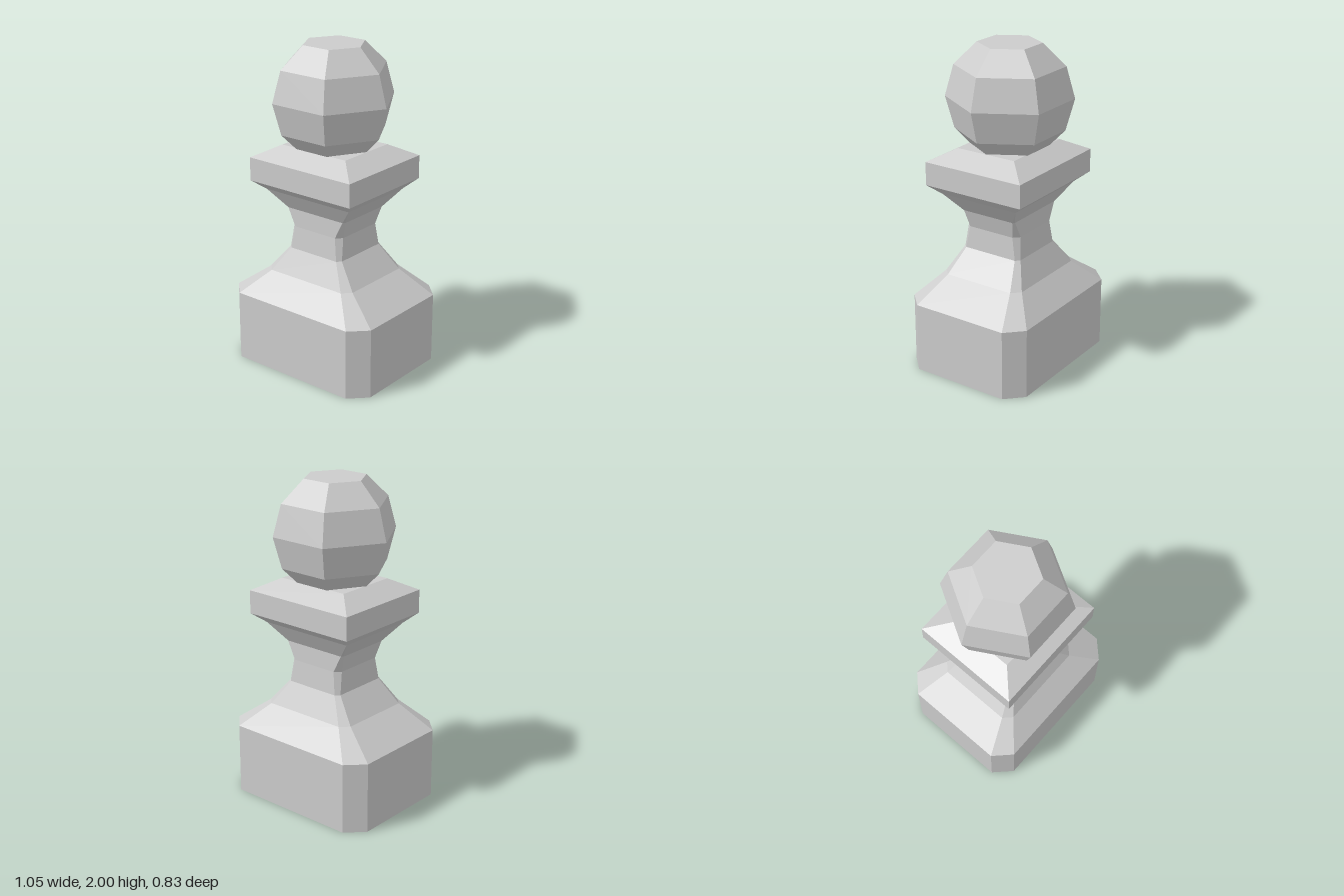
import * as THREE from 'three';

const material = new THREE.MeshStandardMaterial({ color: 0xcccccc, flatShading: true });

// Rectangle with cut corners, counter-clockwise from above.
function section([y, hx, hz, cut]) {
  const x = hx - cut, z = hz - cut;
  return [[hx, z], [hx, -z], [x, -hz], [-x, -hz], [-hx, -z], [-hx, z], [-x, hz], [x, hz]]
    .map(([px, pz]) => [px, y, pz]);
}

// Solid through a stack of sections, capped at both ends.
function loft(rows) {
  const rings = rows.map(section), n = 8, pos = [];
  const tri = (a, b, c) => pos.push(...a, ...b, ...c);
  for (let r = 0; r < rings.length - 1; r++) {
    const lo = rings[r], hi = rings[r + 1];
    for (let i = 0; i < n; i++) {
      const j = (i + 1) % n;
      tri(lo[i], lo[j], hi[j]);
      tri(lo[i], hi[j], hi[i]);
    }
  }
  const bottom = rings[0], top = rings[rings.length - 1];
  for (let i = 1; i < n - 1; i++) {
    tri(bottom[0], bottom[i + 1], bottom[i]);
    tri(top[0], top[i], top[i + 1]);
  }
  const g = new THREE.BufferGeometry();
  g.setAttribute('position', new THREE.Float32BufferAttribute(pos, 3));
  g.computeVertexNormals();
  return g;
}

export function createModel() {
  const group = new THREE.Group();
  const add = (name, geometry, x = 0) => {
    const mesh = new THREE.Mesh(geometry, material);
    mesh.name = name;
    mesh.position.x = x;
    group.add(mesh);
  };

  // Base, waist and collar: height, half width, half depth, corner cut
  add('body', loft([
    [0, 0.525, 0.417, 0.104],
    [0.44, 0.525, 0.417, 0.104],
    [0.59, 0.322, 0.28, 0.05],
    [0.74, 0.2, 0.204, 0.025],
    [0.88, 0.19, 0.19, 0.035],
    [0.99, 0.222, 0.188, 0.012],
    [1.105, 0.315, 0.262, 0],
    [1.165, 0.379, 0.336, 0],
    [1.31, 0.379, 0.336, 0],
    [1.385, 0.24, 0.2, 0],
  ]), -0.003);

  // Six-sided ball on top
  const profile = [[0, 1.38], [0.237, 1.38], [0.33, 1.475], [0.383, 1.67], [0.33, 1.863], [0.192, 2], [0, 2]]
    .map(([r, y]) => new THREE.Vector2(r, y));
  const head = new THREE.LatheGeometry(profile, 6, Math.PI / 2).toNonIndexed();
  head.computeVertexNormals();
  add('head', head, -0.008);

  return group;
}
